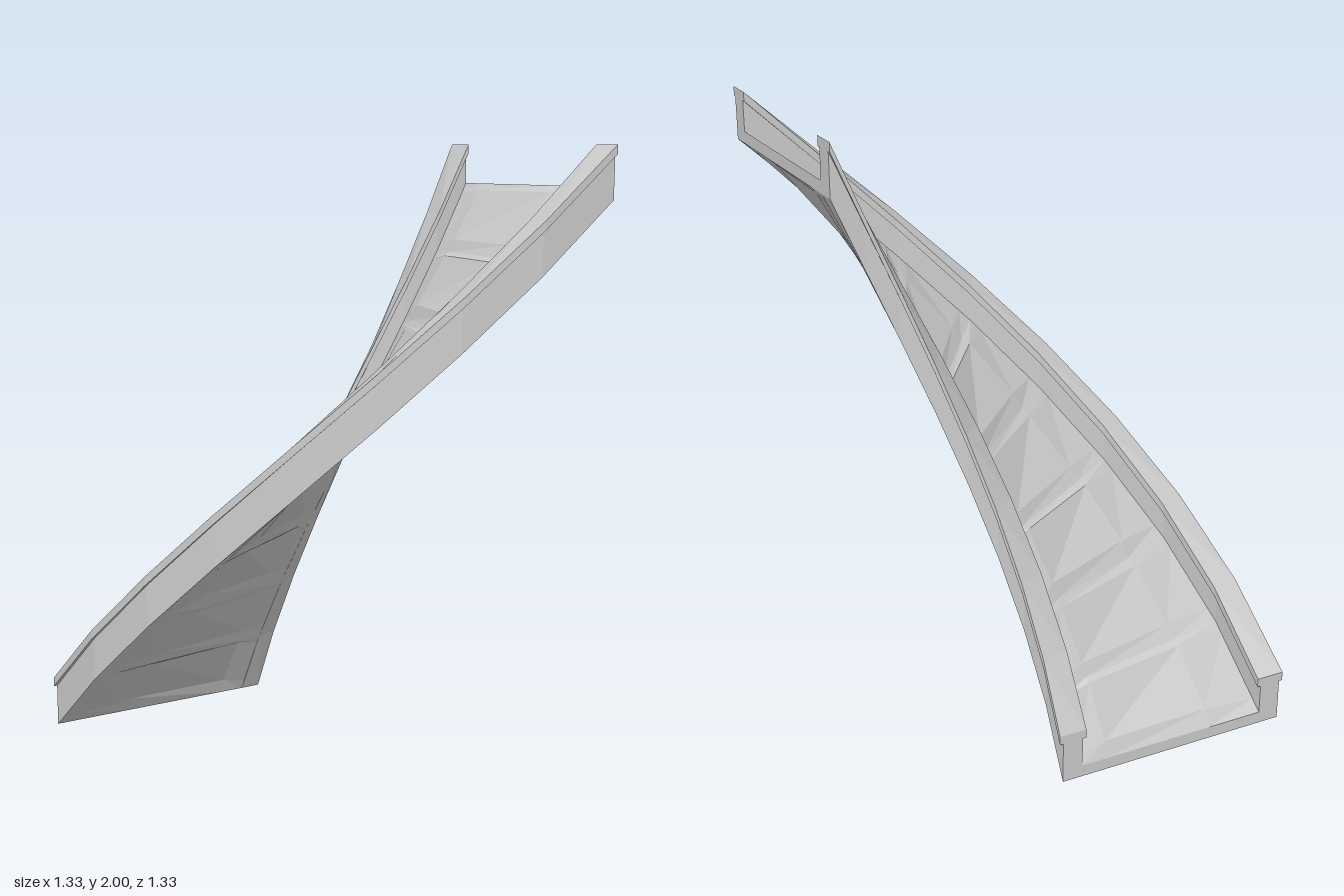
import * as THREE from 'three';

const C = 0.667;          // turning axis at x = C, z = -C
const RISE = 1.83;        // climb over the quarter turn
const SEGMENTS = 8;
const FLOOR = 0.04;       // floor thickness
const STEP = Math.PI / 2 / SEGMENTS;

// point at radius r, y above the climbing base line, t in segments
const at = (r, y, t) => {
  const a = t * STEP;
  return [C - r * Math.cos(a), y + RISE * t / SEGMENTS, -C + r * Math.sin(a)];
};

function quad(out, a, b, c, d) {
  out.push(...a, ...b, ...c, ...a, ...c, ...d);
}

function makeMesh(positions, name) {
  const geometry = new THREE.BufferGeometry();
  geometry.setAttribute('position', new THREE.Float32BufferAttribute(positions, 3));
  geometry.computeVertexNormals();
  const material = new THREE.MeshStandardMaterial({ color: 0xcccccc, flatShading: true });
  const mesh = new THREE.Mesh(geometry, material);
  mesh.name = name;
  return mesh;
}

// sweeps a counter-clockwise [r, y] section up the helix and caps both ends
function sweep(section, name) {
  const out = [];
  for (let s = 0; s < SEGMENTS; s++) {
    section.forEach(([r0, y0], i) => {
      const [r1, y1] = section[(i + 1) % section.length];
      quad(out, at(r0, y0, s), at(r0, y0, s + 1), at(r1, y1, s + 1), at(r1, y1, s));
    });
  }
  const points = section.map(([r, y]) => new THREE.Vector2(r, y));
  for (const [i, j, k] of THREE.ShapeUtils.triangulateShape(points, [])) {
    for (const n of [i, j, k]) out.push(...at(...section[n], 0));
    for (const n of [k, j, i]) out.push(...at(...section[n], SEGMENTS));
  }
  return makeMesh(out, name);
}

// side wall with a thin lip overhanging both faces
function wallSection(r0, r1) {
  const lip = 0.012;
  return [
    [r0, 0], [r1, 0], [r1, 0.14], [r1 + lip, 0.14], [r1 + lip, 0.17],
    [r0 - lip, 0.17], [r0 - lip, 0.14], [r0, 0.14],
  ];
}

// floor with one shallow bevelled panel pressed into every segment
function makeFloor(rInner, rOuter) {
  const out = [];
  const radii = [rInner, 0.667, 1.05, rOuter];
  const steps = [0, 0.15, 0.87, 1];
  const inside = (i) => i === 1 || i === 2;
  for (let s = 0; s < SEGMENTS; s++) {
    const press = s % 2 === 0 ? 0.018 : 0.008;
    const point = (i, j, base) =>
      at(radii[i], base + (inside(i) && inside(j) ? press : 0), s + steps[j]);
    for (let i = 0; i < 3; i++) {
      for (let j = 0; j < 3; j++) {
        const corners = (base) => [
          point(i, j, base), point(i + 1, j, base),
          point(i + 1, j + 1, base), point(i, j + 1, base),
        ];
        const [a, b, c, d] = corners(0);
        quad(out, ...corners(FLOOR));
        quad(out, a, d, c, b);
      }
    }
  }
  // end faces
  const end = (t) => [at(rInner, 0, t), at(rOuter, 0, t), at(rOuter, FLOOR, t), at(rInner, FLOOR, t)];
  quad(out, ...end(0));
  quad(out, ...end(SEGMENTS).reverse());
  return makeMesh(out, 'floor');
}

export function createModel() {
  const group = new THREE.Group();
  group.name = 'curvedRamp';
  group.add(makeFloor(0.575, 1.247));
  group.add(sweep(wallSection(1.247, 1.321), 'outerWall'));
  group.add(sweep(wallSection(0.505, 0.575), 'innerWall'));
  return group;
}
